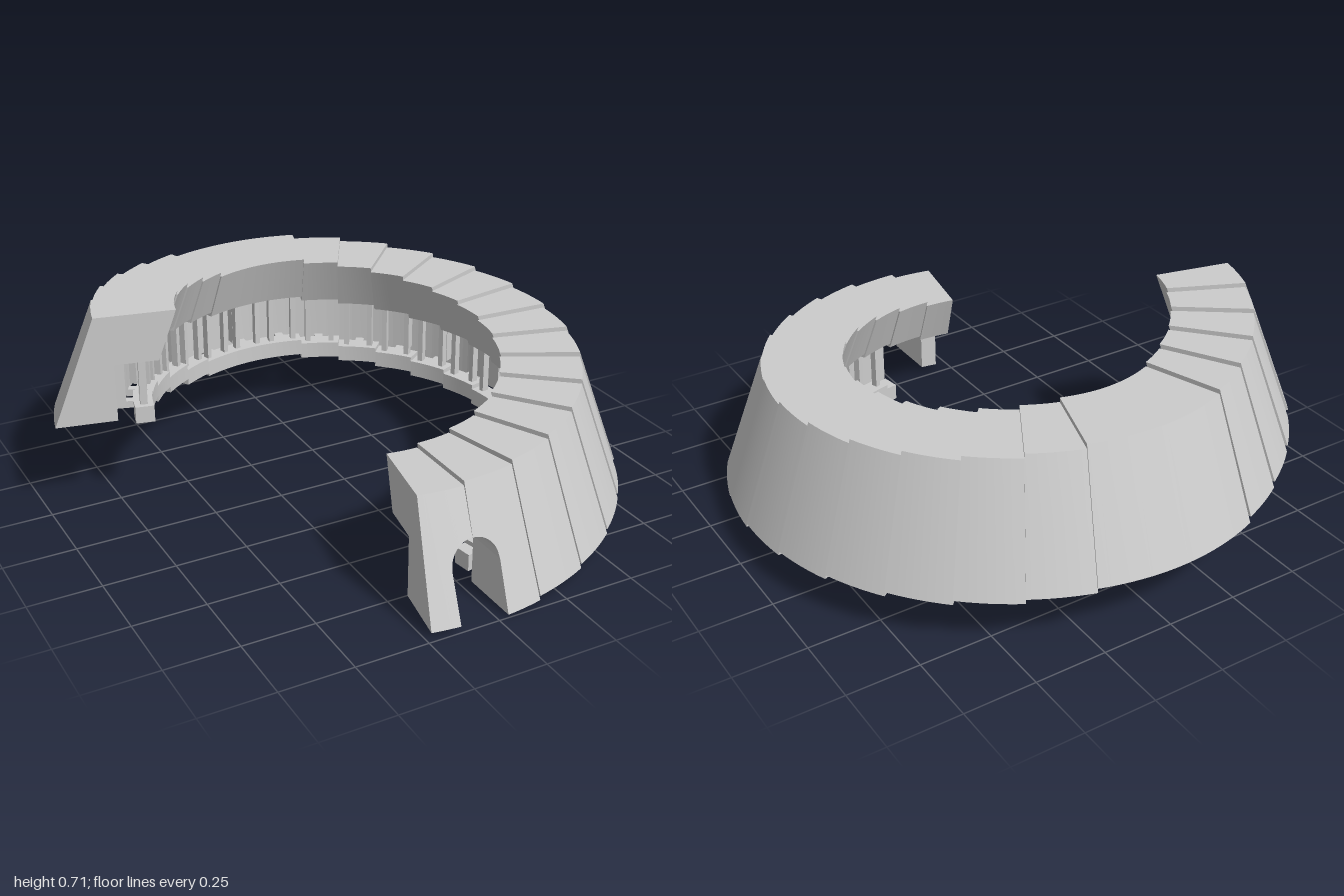
import * as THREE from 'three';
import { toCreasedNormals } from 'three/addons/utils/BufferGeometryUtils.js';

const RAD = Math.PI / 180;
const CX = -0.05;

// Plan curve: angle t runs from the front (+z) towards +x; the far end tightens slightly
function place(t, r, y) {
  const s = THREE.MathUtils.smoothstep(t, 170 * RAD, 215 * RAD);
  const R = r - 0.065 * s;
  return [CX + R * Math.sin(t), y, -0.045 * s + R * Math.cos(t)];
}

// Sweeps a section (list of [r, y], outer edge downwards first) between two angle rules
function sweep(section, from, to, steps) {
  const pos = [];
  const rings = [];
  for (let i = 0; i <= steps; i++) {
    const f = i / steps;
    rings.push(section(f).map(([r, y]) =>
      place(THREE.MathUtils.lerp(from(r), to(r), f), r, y)));
  }
  const n = rings[0].length;
  for (let i = 0; i < steps; i++) {
    for (let j = 0; j < n; j++) {
      const k = (j + 1) % n;
      const a = rings[i][j], b = rings[i][k], c = rings[i + 1][k], d = rings[i + 1][j];
      pos.push(...a, ...b, ...c, ...a, ...c, ...d);
    }
  }
  // end caps
  const cap = (f, ring, flip) => {
    const pts = section(f).map(([r, y]) => new THREE.Vector2(r, y));
    const order = pts.map((_, i) => i).reverse();
    const contour = order.map((i) => pts[i]);
    for (const face of THREE.ShapeUtils.triangulateShape(contour, [])) {
      let [a, b, c] = face.map((i) => order[i]);
      const area = (pts[b].x - pts[a].x) * (pts[c].y - pts[a].y)
        - (pts[c].x - pts[a].x) * (pts[b].y - pts[a].y);
      if ((area < 0) !== flip) [b, c] = [c, b];
      pos.push(...ring[a], ...ring[b], ...ring[c]);
    }
  };
  cap(0, rings[0], false);
  cap(1, rings[steps], true);
  const g = new THREE.BufferGeometry();
  g.setAttribute('position', new THREE.Float32BufferAttribute(pos, 3));
  return toCreasedNormals(g, 0.4);
}

const atAngle = (deg) => () => deg * RAD;
const atX = (x) => (r) => Math.asin((x - CX) / r);

// L-shaped wall section: sloping outside, gallery recess under the inner overhang
function wallSection(top, base, cut = base) {
  const outer = 1 - 0.15 * (cut - base) / (top - base);
  const ceil = top - 0.175;
  return [[0.85, top], [outer, cut], [0.79, cut], [0.79, ceil], [0.64, ceil], [0.575, top]];
}

const boxSection = (r0, r1, y0, y1) => [[r1, y1], [r1, y0], [r0, y0], [r0, y1]];

export function createModel() {
  const model = new THREE.Group();
  const stone = new THREE.MeshStandardMaterial({ color: 0xcccccc });
  stone.name = 'pale stone';

  const add = (name, section, from, to, steps) => {
    const mesh = new THREE.Mesh(sweep(section, from, to, steps), stone);
    mesh.name = name;
    model.add(mesh);
  };

  // Segment boundaries in degrees, one long segment at the back
  const edges = [-10.5];
  for (let i = 0; i <= 13; i++) edges.push(i * 12.5);
  for (let i = 0; i <= 5; i++) edges.push(198.5 + i * 11.9);

  const topOf = (i) => 0.41 + 0.0157 * i;
  const baseOf = (i) => {
    if (i === 0) return 0.02;
    if (i <= 14) return topOf(i) - 0.418;
    return topOf(i) - THREE.MathUtils.lerp(0.41, 0.38, (i - 15) / 4);
  };

  // Arched doorway through the first two segments
  const half = 0.085, spring = 0.175;
  const arch = (x) => spring + Math.sqrt(Math.max(0, half * half - x * x));
  const door = (i, side) => (f) => {
    // angular easing gives an even arch curve
    const x = side < 0 ? -half * (1 - f) : half * f;
    return wallSection(topOf(i), baseOf(i), arch(x));
  };
  add('doorJamb', () => wallSection(topOf(0), baseOf(0)), atAngle(-10.5), atX(CX - half), 3);
  add('doorArch', door(0, -1), atX(CX - half), atX(CX), 20);
  add('doorArch', door(1, 1), atX(CX), atX(CX + half), 20);
  add('doorJamb', () => wallSection(topOf(1), baseOf(1)), atX(CX + half), atAngle(12.5), 4);

  for (let i = 1; i < edges.length - 1; i++) {
    const a = edges[i], b = edges[i + 1];
    const top = topOf(i), base = baseOf(i), ceil = top - 0.175;
    const steps = Math.round((b - a) / 2);
    const start = i === 1 ? 9 : a;

    // Stepped wall
    if (i > 1) add('wallSegment', () => wallSection(top, base), atAngle(a), atAngle(b), steps);

    // Gallery walkway, hung just below the wall
    const low = base - (i > 14 ? 0.02 : 0.0076);
    const deck = low + 0.06;
    add('walkway', () => boxSection(0.665, 0.73, low, deck), atAngle(start), atAngle(b), steps);

    // Posts, ties back to the wall, and piers
    const bays = Math.max(1, Math.round((b - a) / 12));
    const pitch = (b - a) / bays;
    for (let k = 0; k < bays; k++) {
      const c = a + (k + 0.5) * pitch;
      if (c < 9) continue;
      for (const d of [-0.3, 0.3]) {
        const p = c + d * pitch;
        add('post', () => boxSection(0.685, 0.71, deck, ceil), atAngle(p - 0.8), atAngle(p + 0.8), 1);
      }
      add('tie', () => boxSection(0.71, 0.795, deck - 0.025, deck), atAngle(c - 1.2), atAngle(c + 1.2), 1);
      add('pier', () => boxSection(0.755, 0.795, deck - 0.01, ceil), atAngle(c - 2.5), atAngle(c + 2.5), 2);
    }
  }
  return model;
}
